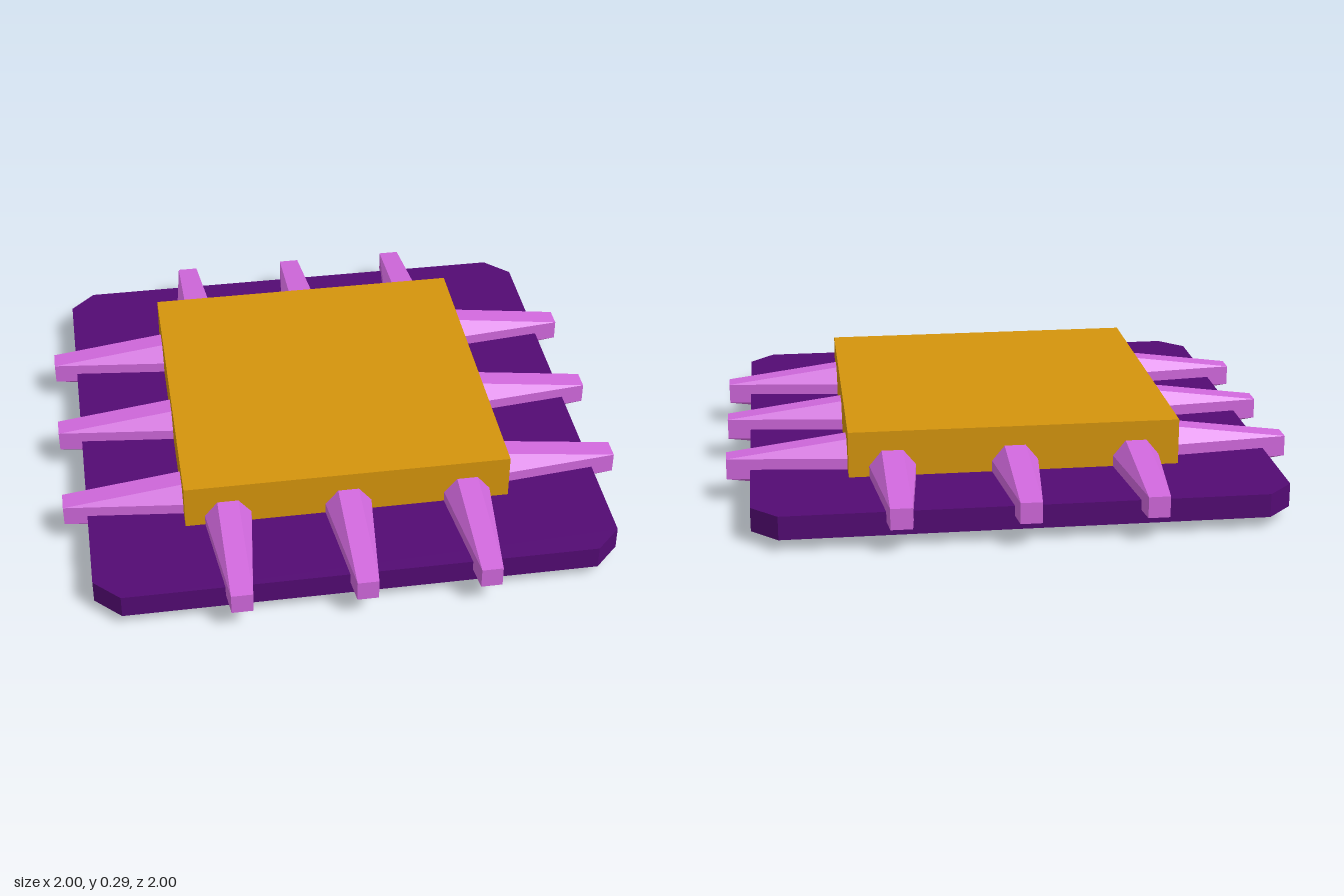
import * as THREE from 'three';
import { ConvexGeometry } from 'three/addons/geometries/ConvexGeometry.js';

const material = (color) => new THREE.MeshStandardMaterial({ color, flatShading: true });

const PIN_SPACING = 0.427;
const PIN_Y = 0.127;

// Square slab with chamfered corners, lying flat on y = bottom.
function chamferedSlab(half, chamfer, bottom, height) {
  const c = half - chamfer;
  const outline = [[half, -c], [half, c], [c, half], [-c, half], [-half, c], [-half, -c], [-c, -half], [c, -half]];
  const shape = new THREE.Shape(outline.map(([x, y]) => new THREE.Vector2(x, y)));
  const geometry = new THREE.ExtrudeGeometry(shape, { depth: height, bevelEnabled: false });
  return geometry.rotateX(-Math.PI / 2).translate(0, bottom, 0);
}

// Bar along x: octagonal in the middle, tapering to a small square at each tip.
function taperedBar() {
  const flat = 0.037, halfWidth = 0.11, halfHeight = 0.127, hubEnd = 0.32;
  const points = [];
  for (const end of [-1, 1]) {
    for (const sy of [-1, 1]) {
      for (const sz of [-1, 1]) {
        points.push(new THREE.Vector3(end, sy * flat, sz * flat));
        points.push(new THREE.Vector3(end * hubEnd, sy * halfHeight, sz * flat));
        points.push(new THREE.Vector3(end * hubEnd, sy * flat, sz * halfWidth));
      }
    }
  }
  return new ConvexGeometry(points);
}

export function createModel() {
  const model = new THREE.Group();
  const add = (name, geometry, mat, x, y, z) => {
    const mesh = new THREE.Mesh(geometry, mat);
    mesh.name = name;
    mesh.position.set(x, y, z);
    model.add(mesh);
    return mesh;
  };

  // Base plate and the raised block on it
  add('basePlate', chamferedSlab(0.917, 0.09, 0.042, 0.083), material(0x530a73), 0, 0, -0.007);
  add('centreBlock', new THREE.BoxGeometry(1.158, 0.165, 1.17), material(0xd4940c), 0, 0.2055, -0.006);

  // Three pins across and three front to back, crossing under the block
  const barGeometry = taperedBar();
  const barMaterial = material(0xd068dc);
  for (const i of [-1, 0, 1]) {
    add('crossPin', barGeometry, barMaterial, 0, PIN_Y, i * PIN_SPACING);
    add('lengthwisePin', barGeometry, barMaterial, i * PIN_SPACING, PIN_Y, 0).rotation.y = Math.PI / 2;
  }
  return model;
}
